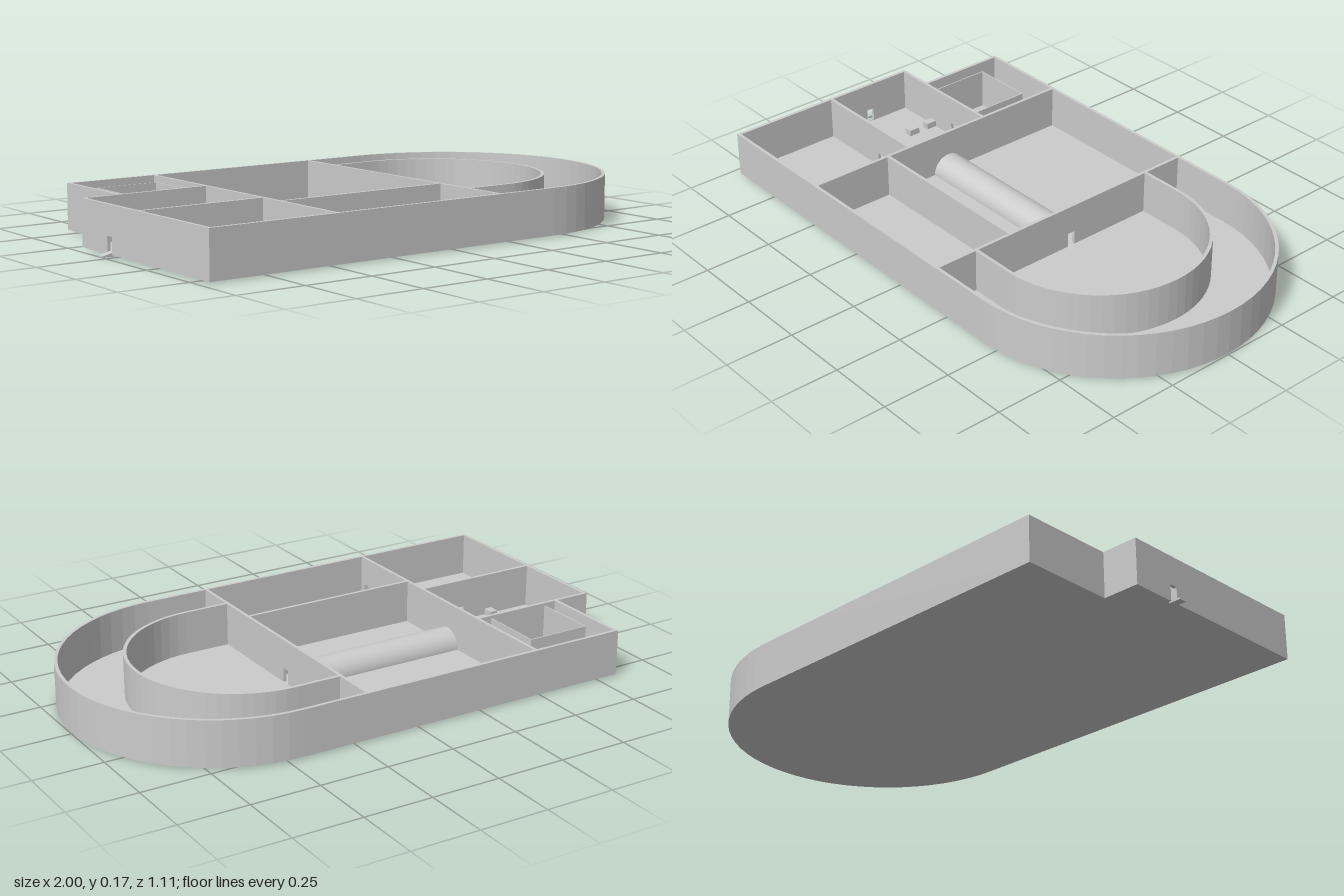
import * as THREE from 'three';

const BASE = 0.005, FLOOR = 0.013, TOP = 0.17, T = 0.012;
const HALF = 0.557, AXIS = -0.035;

export function createModel() {
  const group = new THREE.Group();
  const mat = new THREE.MeshStandardMaterial({ color: 0xcccccc, flatShading: true });
  const smooth = new THREE.MeshStandardMaterial({ color: 0xcccccc, side: THREE.DoubleSide });

  const add = (name, geo, material = mat) => {
    const mesh = new THREE.Mesh(geo, material);
    mesh.name = name;
    group.add(mesh);
    return mesh;
  };
  const box = (name, x1, x2, y1, y2, z1, z2) =>
    add(name, new THREE.BoxGeometry(x2 - x1, y2 - y1, z2 - z1))
      .position.set((x1 + x2) / 2, (y1 + y2) / 2, (z1 + z2) / 2);

  // Plan shape (x, -z) raised from y1 to y2
  const raise = (name, shape, y1, y2) => {
    const geo = new THREE.ExtrudeGeometry(shape, { depth: y2 - y1, bevelEnabled: false, curveSegments: 16 });
    geo.rotateX(-Math.PI / 2).translate(0, y1, 0);
    return add(name, geo);
  };

  // Straight wall with small doorways cut up from the floor at the given distances
  const wall = (name, x1, z1, x2, z2, doors = []) => {
    const len = Math.hypot(x2 - x1, z2 - z1);
    const s = new THREE.Shape();
    s.moveTo(0, BASE);
    for (const d of doors) {
      s.lineTo(d - 0.015, BASE);
      s.lineTo(d - 0.015, 0.065);
      s.lineTo(d + 0.015, 0.065);
      s.lineTo(d + 0.015, BASE);
    }
    s.lineTo(len, BASE);
    s.lineTo(len, TOP);
    s.lineTo(0, TOP);
    const geo = new THREE.ExtrudeGeometry(s, { depth: T, bevelEnabled: false });
    geo.translate(0, 0, -T / 2);
    const mesh = add(name, geo);
    mesh.position.set(x1, 0, z1);
    mesh.rotation.y = -Math.atan2(z2 - z1, x2 - x1);
  };

  // U-shaped wall: straight from x0 to cx, then a half circle
  const uWall = (name, x0, cx, r) => {
    const s = new THREE.Shape();
    s.moveTo(x0, -r);
    s.lineTo(cx, -r);
    s.absarc(cx, 0, r, -Math.PI / 2, Math.PI / 2, false);
    s.lineTo(x0, r);
    s.lineTo(x0, r - T);
    s.lineTo(cx, r - T);
    s.absarc(cx, 0, r - T, Math.PI / 2, -Math.PI / 2, true);
    s.lineTo(x0, -r + T);
    raise(name, s, BASE, TOP);
  };

  // Floor slab
  const plan = new THREE.Shape();
  plan.moveTo(-0.965, -HALF);
  plan.lineTo(0.443, -HALF);
  plan.absarc(0.443, 0, HALF, -Math.PI / 2, Math.PI / 2, false);
  plan.lineTo(-0.83, HALF);
  plan.lineTo(-0.83, 0.214);
  plan.lineTo(-0.965, 0.214);
  raise('floor', plan, BASE, FLOOR);

  // Curved walls at the rounded end
  uWall('outerCurvedWall', 0.2, 0.443, HALF);
  uWall('innerCurvedWall', 0.2, 0.37, 0.392);

  // Straight outer walls
  const e = HALF - T / 2;
  wall('frontWall', -0.965, e, 0.2, e);
  wall('backWall', -0.83, -e, 0.2, -e);
  wall('entranceWall', -0.959, -0.214, -0.959, HALF, [AXIS + 0.214]);
  wall('backRoomWall', -0.824, -HALF, -0.824, -0.208);

  // Inner dividing walls
  wall('entranceRoomBackWall', -0.965, -0.208, -0.48, -0.208, [0.315]);
  wall('entranceRoomFrontWall', -0.965, 0.138, -0.48, 0.138, [0.315]);
  wall('middleWall', -0.48, -HALF, -0.48, HALF, [AXIS + HALF, 0.51 + HALF]);
  wall('curvedRoomWall', 0.2, -HALF, 0.2, HALF, [AXIS + HALF]);
  wall('sideCorridorWall', -0.48, 0.235, 0.2, 0.235);

  // Half-round tunnel joining the two doorways
  const tunnel = add('tunnel',
    new THREE.CylinderGeometry(0.065, 0.065, 0.68, 32, 1, true, 0, Math.PI), smooth);
  tunnel.rotation.z = Math.PI / 2;
  tunnel.position.set(-0.14, FLOOR, AXIS);

  // Thin-walled enclosure with a low block in the back room
  const t = 0.004, top = 0.16;
  box('enclosureLeftSide', -0.775, -0.775 + t, FLOOR, top, -0.448, -0.21);
  box('enclosureRightSide', -0.535 - t, -0.535, FLOOR, top, -0.448, -0.21);
  box('enclosureBack', -0.775, -0.535, FLOOR, top, -0.448, -0.448 + t);
  box('enclosureBlock', -0.705, -0.592, FLOOR, 0.04, -0.37, -0.302);

  // Row of entrance barriers, mirrored about the doorway axis
  for (const s of [-1, 1]) {
    for (const d of [0.065, 0.148]) {
      const z = AXIS + s * d;
      box('entranceBarrier', -0.79, -0.76, FLOOR, 0.036, z - 0.021, z + 0.021);
    }
  }

  // Entrance ramp
  const ramp = new THREE.Shape();
  ramp.moveTo(-1, 0);
  ramp.lineTo(-0.955, 0);
  ramp.lineTo(-0.955, FLOOR + 0.002);
  ramp.lineTo(-1, 0.005);
  add('entranceRamp', new THREE.ExtrudeGeometry(ramp, { depth: 0.03, bevelEnabled: false }))
    .position.z = AXIS - 0.015;

  return group;
}
